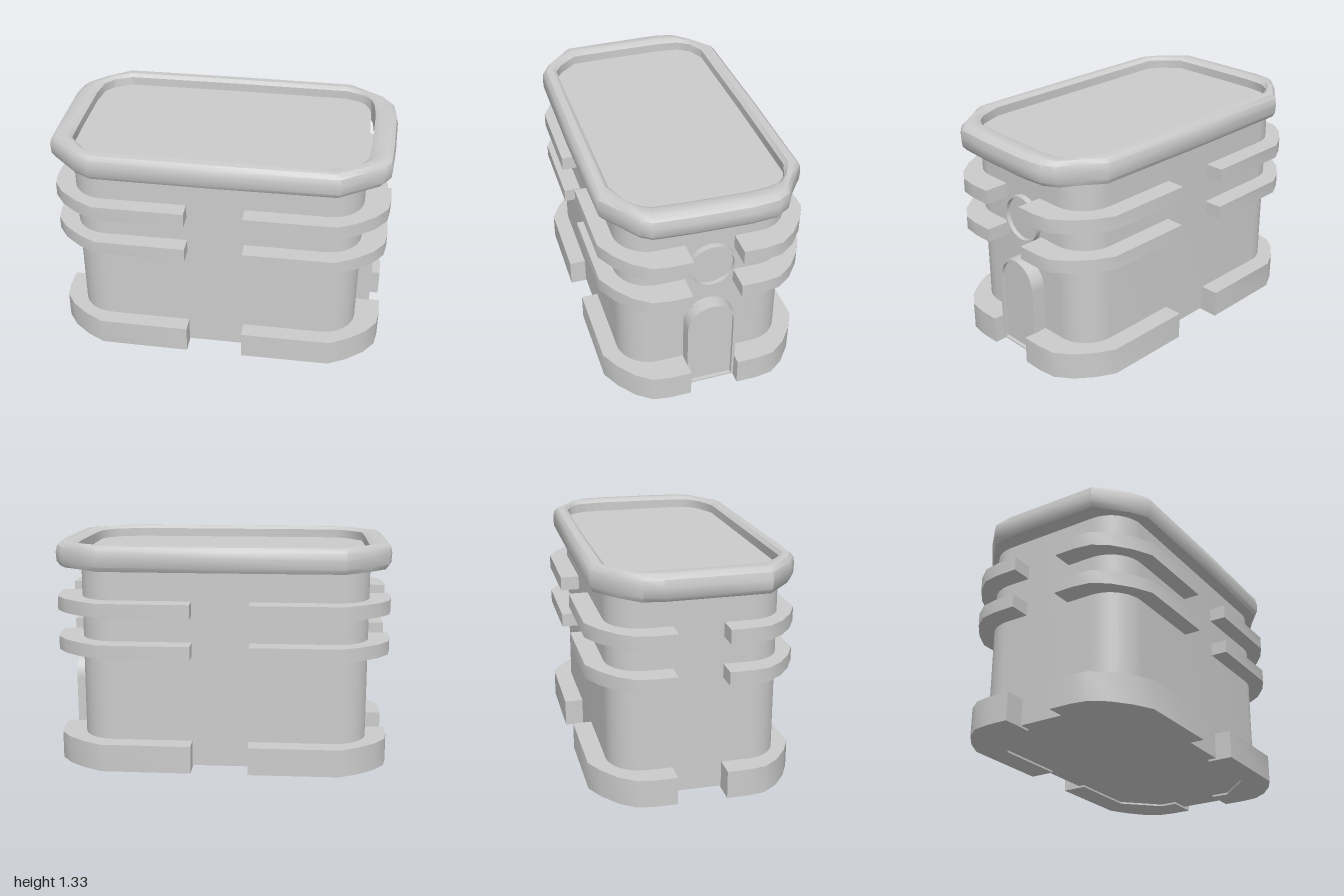
import * as THREE from 'three';
import { toCreasedNormals } from 'three/addons/utils/BufferGeometryUtils.js';

const material = new THREE.MeshStandardMaterial({ color: 0xcccccc });

function add(parent, name, geometry, crease = 0.6) {
  const mesh = new THREE.Mesh(toCreasedNormals(geometry, crease), material);
  mesh.name = name;
  parent.add(mesh);
  return mesh;
}

// Extrude a plan (x, -z) upwards from y0 to y1.
function slab(shape, y0, y1) {
  return new THREE.ExtrudeGeometry(shape, { depth: y1 - y0, bevelEnabled: false, curveSegments: 5 })
    .rotateX(-Math.PI / 2).translate(0, y0, 0);
}

// Extrude an elevation (-z, y) along x from x0 to x1.
function relief(shape, x0, x1) {
  return new THREE.ExtrudeGeometry(shape, { depth: x1 - x0, bevelEnabled: false, curveSegments: 24 })
    .rotateY(Math.PI / 2).translate(x0, 0, 0);
}

function roundedPlan(x0, x1, z0, z1, r) {
  const s = new THREE.Shape();
  s.absarc(x1 - r, z1 - r, r, 0, Math.PI / 2);
  s.absarc(x0 + r, z1 - r, r, Math.PI / 2, Math.PI);
  s.absarc(x0 + r, z0 + r, r, Math.PI, Math.PI * 1.5);
  s.absarc(x1 - r, z0 + r, r, Math.PI * 1.5, Math.PI * 2);
  s.closePath();
  return s;
}

function arch(Type, r, y0, top) {
  const s = new Type();
  s.moveTo(-r, y0);
  s.lineTo(r, y0);
  s.absarc(0, top - r, r, 0, Math.PI);
  s.closePath();
  return s;
}

function circle(Type, r) {
  const s = new Type();
  s.absarc(0.008, 0.843, r, 0, Math.PI * 2);
  return s;
}

// Outer and inner outlines of the roof rim as matching [x, z] points.
const rimOuter = [
  [-1, -0.22], [-0.98, -0.33], [-0.87, -0.44], [-0.72, -0.565],
  [0, -0.57], [0.7, -0.565], [0.82, -0.47], [0.93, -0.405], [0.98, -0.33],
  [0.995, -0.18], [0.985, 0.15], [0.97, 0.36], [0.93, 0.42], [0.83, 0.485],
  [0.7, 0.585], [0, 0.595], [-0.71, 0.59], [-0.81, 0.535], [-0.99, 0.37], [-0.995, 0.1],
];
const rimInner = [
  [-0.865, -0.22], [-0.85, -0.35], [-0.8, -0.42], [-0.7, -0.47],
  [0, -0.475], [0.68, -0.47], [0.78, -0.43], [0.83, -0.38], [0.85, -0.31],
  [0.86, -0.18], [0.85, 0.15], [0.835, 0.34], [0.8, 0.4], [0.74, 0.45],
  [0.6, 0.5], [0, 0.5], [-0.7, 0.5], [-0.77, 0.455], [-0.86, 0.35], [-0.865, 0.1],
];
// Cross-section: [blend from inner to outer, y].
const rimSection = [
  [0, 1.185], [0, 1.312], [0.25, 1.33], [0.7, 1.327],
  [0.93, 1.305], [1, 1.265], [0.97, 1.21], [0.8, 1.183],
];

function rimGeometry() {
  const n = rimOuter.length, m = rimSection.length;
  const positions = [], index = [];
  for (let i = 0; i < n; i++) {
    for (const [t, y] of rimSection) {
      positions.push(
        THREE.MathUtils.lerp(rimInner[i][0], rimOuter[i][0], t), y,
        THREE.MathUtils.lerp(rimInner[i][1], rimOuter[i][1], t));
    }
    for (let j = 0; j < m; j++) {
      const a = i * m + j, b = ((i + 1) % n) * m + j;
      const c = i * m + (j + 1) % m, d = ((i + 1) % n) * m + (j + 1) % m;
      index.push(a, b, c, b, d, c);
    }
  }
  const g = new THREE.BufferGeometry();
  g.setAttribute('position', new THREE.Float32BufferAttribute(positions, 3));
  g.setIndex(index);
  return g;
}

// Plan of one corner band, mirrored by the signs sx and sz.
const bandPlan = [
  [0.168, 0.6], [0.7, 0.598], [0.81, 0.54], [0.91, 0.46], [0.975, 0.37], [0.99, 0.27],
  [0.99, 0.143], [0.8, 0.143], [0.8, 0.25], [0.6, 0.45], [0.168, 0.45],
];
function bandShape(sx, sz) {
  return new THREE.Shape(bandPlan.map(([x, z]) => new THREE.Vector2(x * sx - 0.007, -z * sz)));
}

export function createModel() {
  const model = new THREE.Group();
  model.name = 'building';

  // Main walls with the recessed flat roof
  add(model, 'walls', slab(roundedPlan(-0.87, 0.833, -0.5, 0.488, 0.2), 0.012, 1.26));
  add(model, 'roofRim', rimGeometry(), 0.7);

  // Base plinth and two wall bands, each in four corner pieces
  const bands = [['plinth', 0, 0.165], ['lowerBand', 0.685, 0.765], ['upperBand', 0.925, 1.008]];
  for (const [name, y0, y1] of bands) {
    const band = new THREE.Group();
    band.name = name;
    for (const sx of [-1, 1]) {
      for (const sz of [-1, 1]) add(band, name + 'Corner', slab(bandShape(sx, sz), y0, y1));
    }
    model.add(band);
  }

  // Arched door: thin frame around a slightly recessed panel
  const frame = arch(THREE.Shape, 0.147, 0.012, 0.592);
  frame.holes.push(arch(THREE.Path, 0.129, 0.02, 0.575));
  add(model, 'doorFrame', relief(frame, 0.78, 0.92));
  add(model, 'doorPanel', relief(arch(THREE.Shape, 0.135, 0.014, 0.58), 0.78, 0.898));

  // Round window: ring and pane
  const ring = circle(THREE.Shape, 0.14);
  ring.holes.push(circle(THREE.Path, 0.127));
  add(model, 'windowRing', relief(ring, 0.78, 0.868));
  add(model, 'windowPane', relief(circle(THREE.Shape, 0.132), 0.78, 0.842));

  return model;
}
